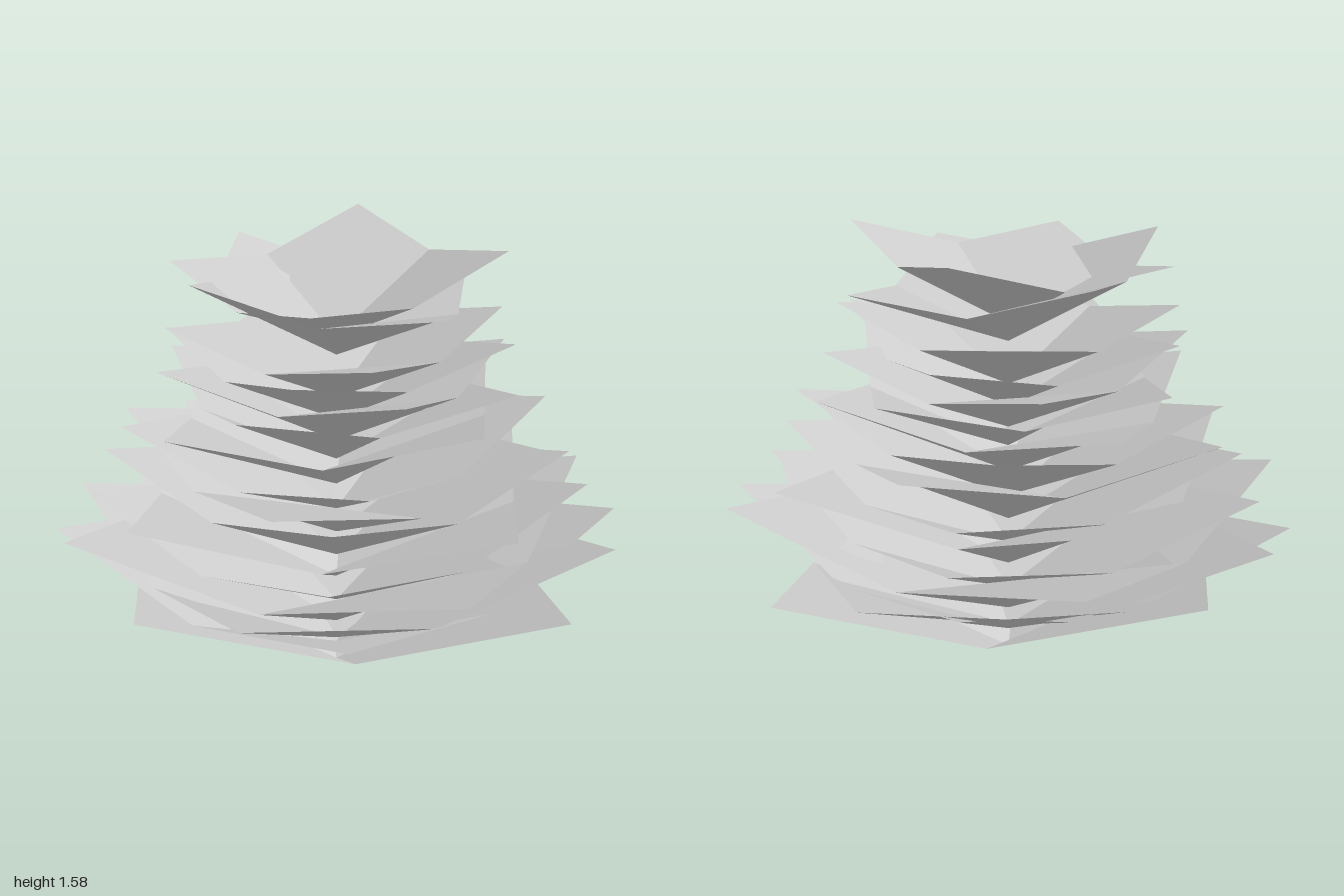
import * as THREE from 'three';

// Each whorl: [height of its centre, corner radius, turn of its corners in degrees, lean to x, lean to z]
const WHORLS = [
  [0.0, 1.0, 182.9, -0.03, -0.03],
  [0.07, 1.0, 45, 0.035, 0.0],
  [0.085, 1.0, 25.5, -0.01, 0.0],
  [0.155, 1.0, 157.2, 0.0, 0.0],
  [0.24, 0.89, 41.5, 0.02, 0.02],
  [0.335, 0.89, 173.5, 0.02, -0.01],
  [0.42, 0.82, 42, -0.02, 0.02],
  [0.51, 0.79, 118, 0.02, -0.03],
  [0.6, 0.75, 51, 0.05, -0.02],
  [0.695, 0.73, 173, 0.03, 0.03],
  [0.79, 0.68, 15, -0.01, 0.02],
  [0.86, 0.64, 153, -0.02, 0.01],
  [0.94, 0.62, 30, 0.0, 0.02],
  [1.02, 0.59, 144, 0.02, -0.01],
  [1.175, 0.59, 170, -0.08, -0.07],
  [1.24, 0.58, 35, 0.11, 0.0],
];

// A square sheet in four quarters, dished upwards from its middle and leaning a little
function whorlGeometry([y, radius, turn, leanX, leanZ]) {
  const side = radius * Math.SQRT2;
  const geo = new THREE.PlaneGeometry(side, side, 2, 2)
    .rotateX(-Math.PI / 2)
    .rotateY(THREE.MathUtils.degToRad(turn - 45))
    .toNonIndexed();
  const p = geo.attributes.position;
  for (let i = 0; i < p.count; i++) {
    const x = p.getX(i), z = p.getZ(i);
    p.setY(i, y + 0.49 * Math.hypot(x, z) + leanX * x + leanZ * z);
  }
  // one even normal for each quarter, taken from its two diagonals
  const corner = (i) => new THREE.Vector3().fromBufferAttribute(p, i);
  for (let q = 0; q < p.count; q += 6) {
    const across = corner(q + 4).sub(corner(q));
    const along = corner(q + 2).sub(corner(q + 1));
    const n = across.cross(along).normalize();
    for (let i = q; i < q + 6; i++) geo.attributes.normal.setXYZ(i, n.x, n.y, n.z);
  }
  return geo;
}

export function createModel() {
  const model = new THREE.Group();
  model.name = 'leafRosette';
  const material = new THREE.MeshStandardMaterial({ color: 0xcccccc, side: THREE.DoubleSide });

  // whorls stacked from the bottom up
  WHORLS.forEach((spec, n) => {
    const whorl = new THREE.Mesh(whorlGeometry(spec), material);
    whorl.name = `leafWhorl${n + 1}`;
    model.add(whorl);
  });
  return model;
}
